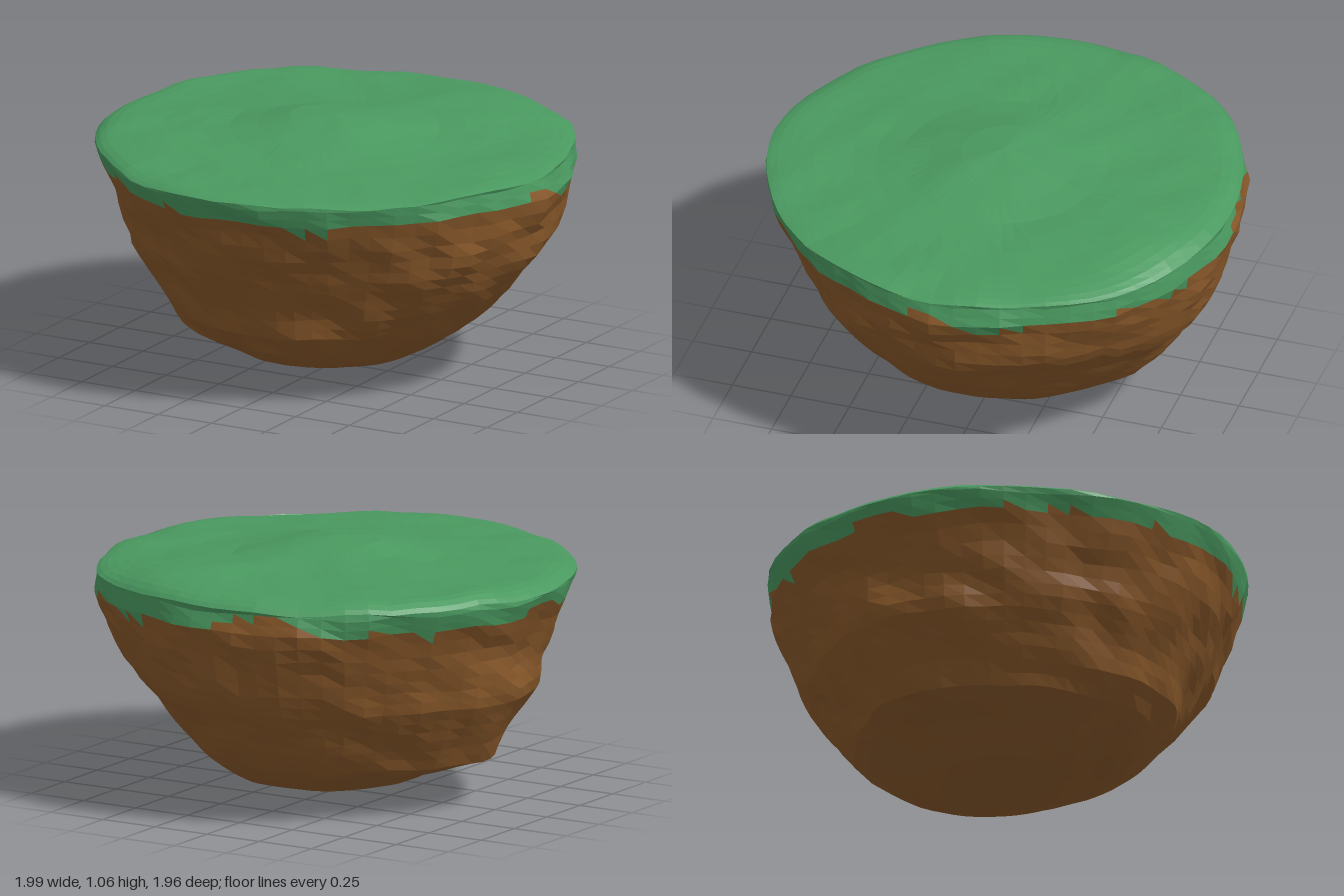
import * as THREE from 'three';

const COLUMNS = 64, TOP_RINGS = 13, SIDE_RINGS = 24;

// Radius of the rock at each height, towards +x, +z, -x and -z
const heights = [0.93, 0.85, 0.72, 0.6, 0.5, 0.4, 0.3, 0.2, 0.13, 0.07, 0.03, 0.01];
const sideRadii = [
  [0.98, 1.0, 0.95, 0.915, 0.84, 0.76, 0.66, 0.54, 0.43, 0.31, 0.17, 0],
  [1.0, 0.97, 0.91, 0.84, 0.79, 0.745, 0.71, 0.62, 0.49, 0.3, 0.15, 0],
  [1.0, 0.965, 0.9, 0.88, 0.87, 0.8, 0.73, 0.68, 0.45, 0.32, 0.15, 0],
  [0.97, 0.995, 0.97, 0.93, 0.88, 0.81, 0.74, 0.65, 0.54, 0.35, 0.14, 0],
];
// Outline correction around the rim, every 22.5 degrees from +x towards +z
const rim = [1, 0.98, 0.97, 0.97, 0.99, 0.98, 0.96, 0.98, 1, 1, 1.02, 1, 1, 1.01, 1.03, 0.99];

const lerp = THREE.MathUtils.lerp;
function sample(list, t) {
  const i = Math.min(Math.floor(t), list.length - 2);
  return lerp(list[i], list[i + 1], t - i);
}

// Smooth bumpy noise in about -1..1
function noise(x, y, z, f) {
  return (Math.sin(f * (x + 0.6 * y) + 1.3 * Math.sin(f * 0.8 * z + 1)) +
    Math.sin(f * (1.1 * z - 0.5 * x) + 1.2 * Math.sin(f * 0.9 * y + 2)) +
    Math.sin(f * (1.3 * y + 0.4 * z) + 1.4 * Math.sin(f * 0.7 * x + 4))) / 3;
}

// Rock radius at profile position t (0 rim .. 11 underside) and angle a
function rockRadius(t, a) {
  const q = (a / (Math.PI / 2)) % 4, k = Math.floor(q);
  const w = Math.sin((q - k) * Math.PI / 2) ** 2;
  const r = lerp(sample(sideRadii[k], t), sample(sideRadii[(k + 1) % 4], t), w);
  const outline = sample([...rim, rim[0]], (a / (2 * Math.PI)) * 16);
  const lowCorner = 1 - 0.05 * Math.sin(2 * a) ** 2;
  return r * lerp(outline, lowCorner, Math.min(1, t / 5));
}

function hill(x, z) {
  return 0.975 - 0.02 * x - 0.015 * z +
    0.09 * Math.exp(-(x * x + z * z) / 0.13) +
    0.04 * Math.exp(-((x - 0.35) ** 2 + (z + 0.65) ** 2) / 0.08);
}

function islandPoint(row, col) {
  const a = ((col % COLUMNS) / COLUMNS) * Math.PI * 2;
  const c = Math.cos(a), s = Math.sin(a);
  if (row < TOP_RINGS) {
    // Gently rolling top, rounded down towards the rim
    const f = Math.sin((row / TOP_RINGS) * Math.PI / 2) ** 0.8;
    const r = rockRadius(0, a) * f, x = c * r, z = s * r;
    const y = lerp(hill(x, z), 0.94, f ** 24) +
      0.008 * noise(x, 0, z, 9) + 0.007 * noise(x, 1, z, 19);
    return new THREE.Vector3(x, y, z);
  }
  // Craggy side and underside
  const t = ((row - TOP_RINGS) / SIDE_RINGS) * (heights.length - 1);
  const r = rockRadius(t, a), y = sample(heights, t);
  const x = c * r, z = s * r;
  const rough = Math.min(1, 0.35 + t / 3);
  const bump = 1 - 0.008 + rough * (0.022 * noise(x, y, z, 8) + 0.018 * noise(x, y, z, 21));
  const lift = 0.012 * noise(x, y, z, 15) * Math.min(1, r * 2);
  return new THREE.Vector3(x * bump, Math.max(0, y + lift), z * bump);
}

function facetedMesh(name, positions, color) {
  const geometry = new THREE.BufferGeometry();
  geometry.setAttribute('position', new THREE.Float32BufferAttribute(positions, 3));
  geometry.computeVertexNormals();
  const mesh = new THREE.Mesh(geometry, new THREE.MeshStandardMaterial({ color, flatShading: true }));
  mesh.name = name;
  return mesh;
}

export function createModel() {
  const group = new THREE.Group();
  group.name = 'floatingIsland';
  const rows = TOP_RINGS + SIDE_RINGS;
  const grid = [];
  for (let i = 0; i <= rows; i++) {
    grid.push([]);
    for (let j = 0; j <= COLUMNS; j++) grid[i].push(islandPoint(i, j));
  }

  // Sort facets into grass and earth along a ragged line below the rim
  const grass = [], earth = [];
  const addFacet = (row, ...p) => {
    const x = (p[0].x + p[1].x + p[2].x) / 3;
    const y = (p[0].y + p[1].y + p[2].y) / 3;
    const z = (p[0].z + p[1].z + p[2].z) / 3;
    const bareBack = 0.05 * Math.exp(-((x + 0.2) ** 2 + (z + 1) ** 2) / 0.04);
    const edge = 0.855 + 0.035 * noise(x, 0, z, 13) + bareBack;
    const target = row < TOP_RINGS || y > edge ? grass : earth;
    for (const v of p) target.push(v.x, v.y, v.z);
  };
  for (let i = 0; i < rows; i++) {
    for (let j = 0; j < COLUMNS; j++) {
      const a = grid[i][j], b = grid[i][j + 1], c = grid[i + 1][j], d = grid[i + 1][j + 1];
      if (i > 0) addFacet(i, a, b, c);
      if (i < rows - 1) addFacet(i, b, d, c);
    }
  }
  group.add(facetedMesh('grassTop', grass, 0x4a9960));
  group.add(facetedMesh('earthBase', earth, 0x8b5a2b));
  return group;
}
